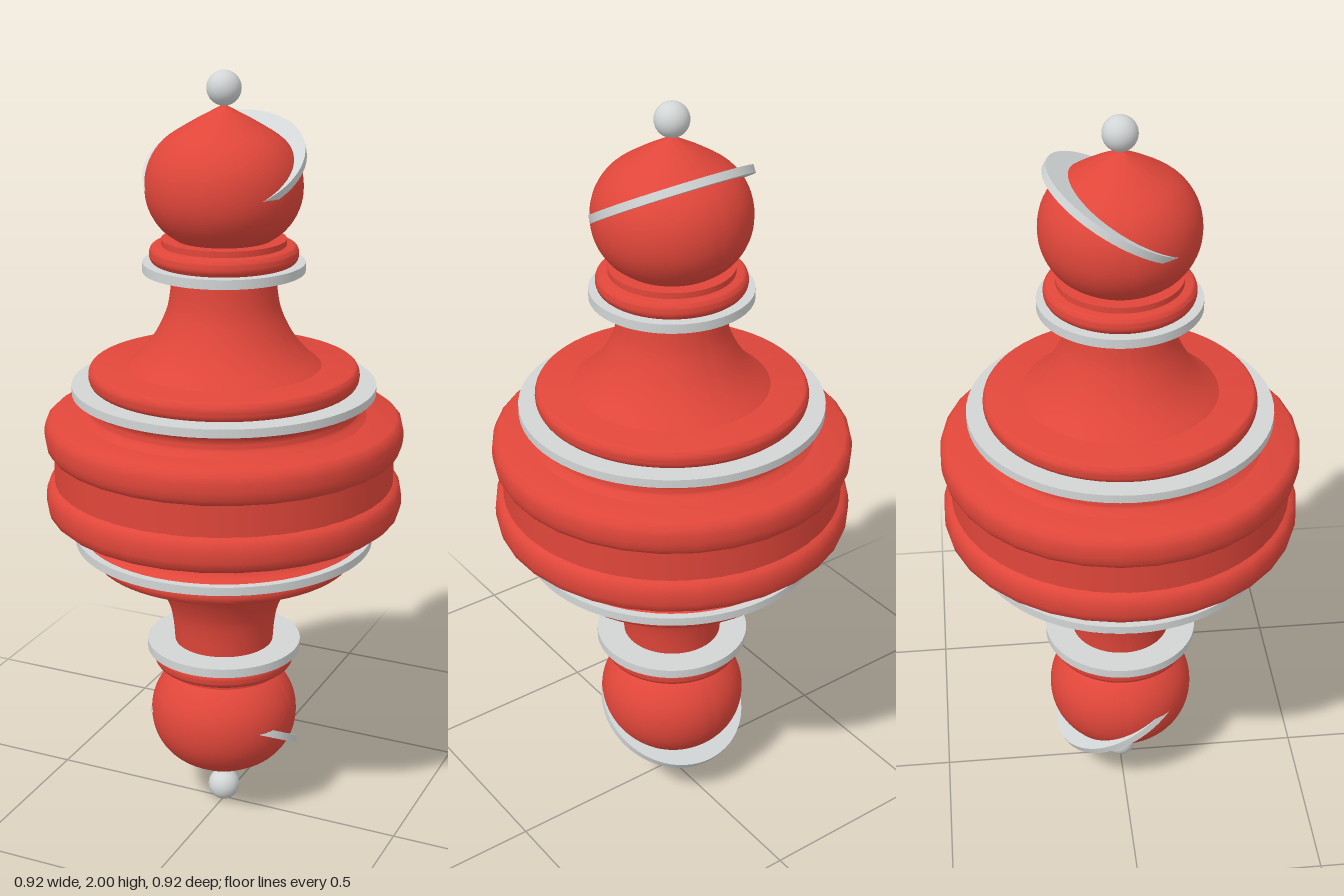
import * as THREE from 'three';
import { toCreasedNormals } from 'three/addons/utils/BufferGeometryUtils.js';

const red = new THREE.MeshStandardMaterial({ color: 0xe0463a });
red.name = 'red';
const silver = new THREE.MeshStandardMaterial({ color: 0xd2d5d5 });
silver.name = 'silver';

function add(parent, name, geometry, material, y = 0) {
  const mesh = new THREE.Mesh(geometry, material);
  mesh.name = name;
  mesh.position.y = y;
  parent.add(mesh);
  return mesh;
}

// Turned part from [radius, height] points, listed bottom to top
function turned(points, segments = 64, crease = 0.6) {
  const profile = points.map(([r, y]) => new THREE.Vector2(r, y));
  return toCreasedNormals(new THREE.LatheGeometry(profile, segments, Math.PI / segments), crease);
}

// Smooth curve through a few profile points
function smooth(points, divisions) {
  const curve = new THREE.SplineCurve(points.map(([r, y]) => new THREE.Vector2(r, y)));
  return curve.getPoints(divisions).map((p) => [Math.max(p.x, 0), p.y]);
}

// Disc with a bulging edge
function roundedDisc(radius, bottom, top, bulge) {
  const mid = (bottom + top) / 2, half = (top - bottom) / 2;
  const points = [[0, bottom]];
  for (let i = 0; i <= 10; i++) {
    const a = -Math.PI / 2 + (i / 10) * Math.PI;
    points.push([radius - bulge + bulge * Math.cos(a), mid + half * Math.sin(a)]);
  }
  points.push([0, top]);
  return turned(points);
}

// Upper half, measured up from the middle of the model
function createHalf(name) {
  const half = new THREE.Group();
  half.name = name;

  // Wide rim of the central drum
  add(half, 'rim', turned([
    [0.44, 0.04], [0.452, 0.046], [0.46, 0.06], [0.4625, 0.078], [0.4625, 0.1],
    [0.458, 0.118], [0.445, 0.13], [0.3, 0.13],
  ], 32, 0.75), red);

  // Hollowed step, band and collar
  add(half, 'cove', turned(smooth([
    [0.37, 0.128], [0.35, 0.145], [0.346, 0.16], [0.352, 0.178], [0.37, 0.192],
  ], 12)), red);
  add(half, 'lowerBand', new THREE.CylinderGeometry(0.39, 0.39, 0.022, 64), silver, 0.203);
  add(half, 'lowerCollar', roundedDisc(0.347, 0.214, 0.262, 0.014), red);

  // Flared neck
  add(half, 'neck', turned(smooth([
    [0.25, 0.261], [0.21, 0.297], [0.175, 0.342], [0.147, 0.4], [0.136, 0.45], [0.131, 0.51],
  ], 20)), red);

  // Upper band and collars
  add(half, 'upperBand', new THREE.CylinderGeometry(0.205, 0.205, 0.024, 64), silver, 0.517);
  add(half, 'upperCollar', roundedDisc(0.188, 0.528, 0.572, 0.014), red);
  add(half, 'smallCollar', new THREE.CylinderGeometry(0.157, 0.157, 0.019, 64), red, 0.578);

  // Onion-shaped bulb and its tilted ring
  add(half, 'bulb', turned(smooth([
    [0.1, 0.574], [0.155, 0.612], [0.188, 0.664], [0.197, 0.722], [0.185, 0.78],
    [0.15, 0.83], [0.09, 0.87], [0.035, 0.9], [0, 0.918],
  ], 32)), red);
  const ring = add(half, 'tiltedRing', new THREE.CylinderGeometry(0.205, 0.205, 0.02, 64), silver, 0.77);
  ring.rotation.x = Math.PI / 6;

  // Ball at the tip
  add(half, 'tipBall', new THREE.SphereGeometry(0.043, 32, 20), silver, 0.957);
  return half;
}

export function createModel() {
  const model = new THREE.Group();
  model.name = 'turnedFinial';

  // Central drum
  const drum = add(model, 'drum', new THREE.CylinderGeometry(0.44, 0.44, 0.16, 64), red, 1);
  drum.rotation.y = Math.PI / 64;

  // The lower half is the upper one turned upside down
  const upper = createHalf('upperHalf');
  const lower = createHalf('lowerHalf');
  upper.position.y = lower.position.y = 1;
  lower.rotation.z = Math.PI;
  model.add(upper, lower);
  return model;
}
